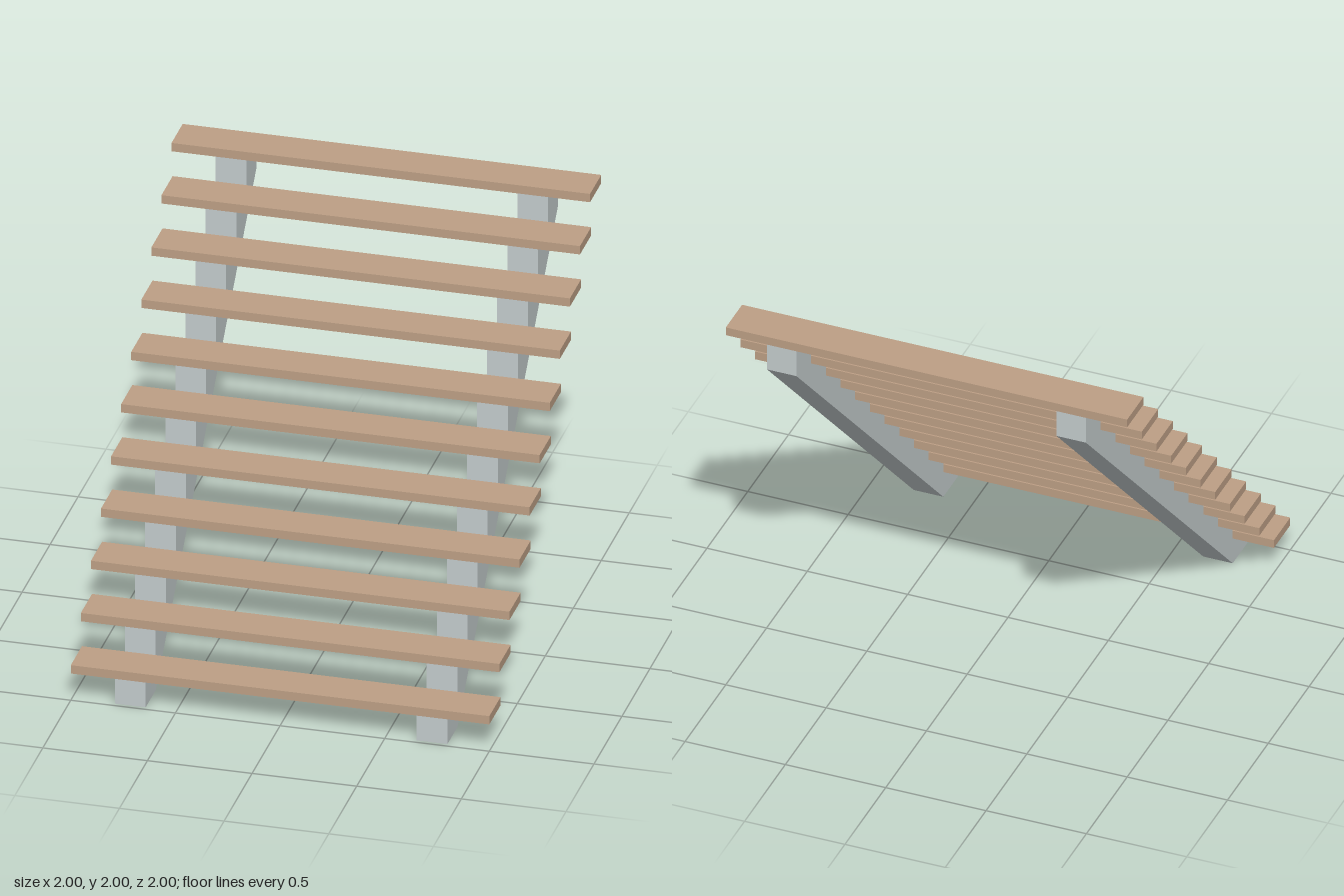
import * as THREE from 'three';

const STEPS = 11;
const RISE = 2 / STEPS;      // height of one step
const GOING = 0.18;          // horizontal run of one step
const TREAD_T = 0.043, TREAD_D = 0.2, TREAD_W = 2;
const NOSE = 0.02;           // tread overhang past the stringer
const STRINGER_W = 0.147, STRINGER_X = 0.721;

// Saw-tooth side profile, drawn in (-z, y)
function stringerGeometry() {
  const shape = new THREE.Shape();
  shape.moveTo(-0.8, 0);
  shape.lineTo(1, 2 - RISE);
  shape.lineTo(1, 2 - TREAD_T);
  for (let i = STEPS - 1; i >= 0; i--) {
    const front = -1 + NOSE + i * GOING;
    shape.lineTo(front, (i + 1) * RISE - TREAD_T);
    shape.lineTo(front, i > 0 ? i * RISE - TREAD_T : 0);
  }
  shape.closePath();
  const geo = new THREE.ExtrudeGeometry(shape, { depth: STRINGER_W, bevelEnabled: false });
  geo.translate(0, 0, -STRINGER_W / 2);
  geo.rotateY(Math.PI / 2);
  return geo;
}

export function createModel() {
  const model = new THREE.Group();
  model.name = 'openStaircase';
  const wood = new THREE.MeshStandardMaterial({ color: 0xbd9f85 });
  const steel = new THREE.MeshStandardMaterial({ color: 0xc4cccd });

  // Pair of notched stringers
  const stringerGeo = stringerGeometry();
  for (const [name, side] of [['leftStringer', 1], ['rightStringer', -1]]) {
    const stringer = new THREE.Mesh(stringerGeo, steel);
    stringer.name = name;
    stringer.position.x = side * STRINGER_X;
    model.add(stringer);
  }

  // Plank treads
  const treadGeo = new THREE.BoxGeometry(TREAD_W, TREAD_T, TREAD_D);
  for (let i = 0; i < STEPS; i++) {
    const tread = new THREE.Mesh(treadGeo, wood);
    tread.name = `tread${i + 1}`;
    tread.position.set(0, (i + 1) * RISE - TREAD_T / 2, 1 - TREAD_D / 2 - i * GOING);
    model.add(tread);
  }
  return model;
}
